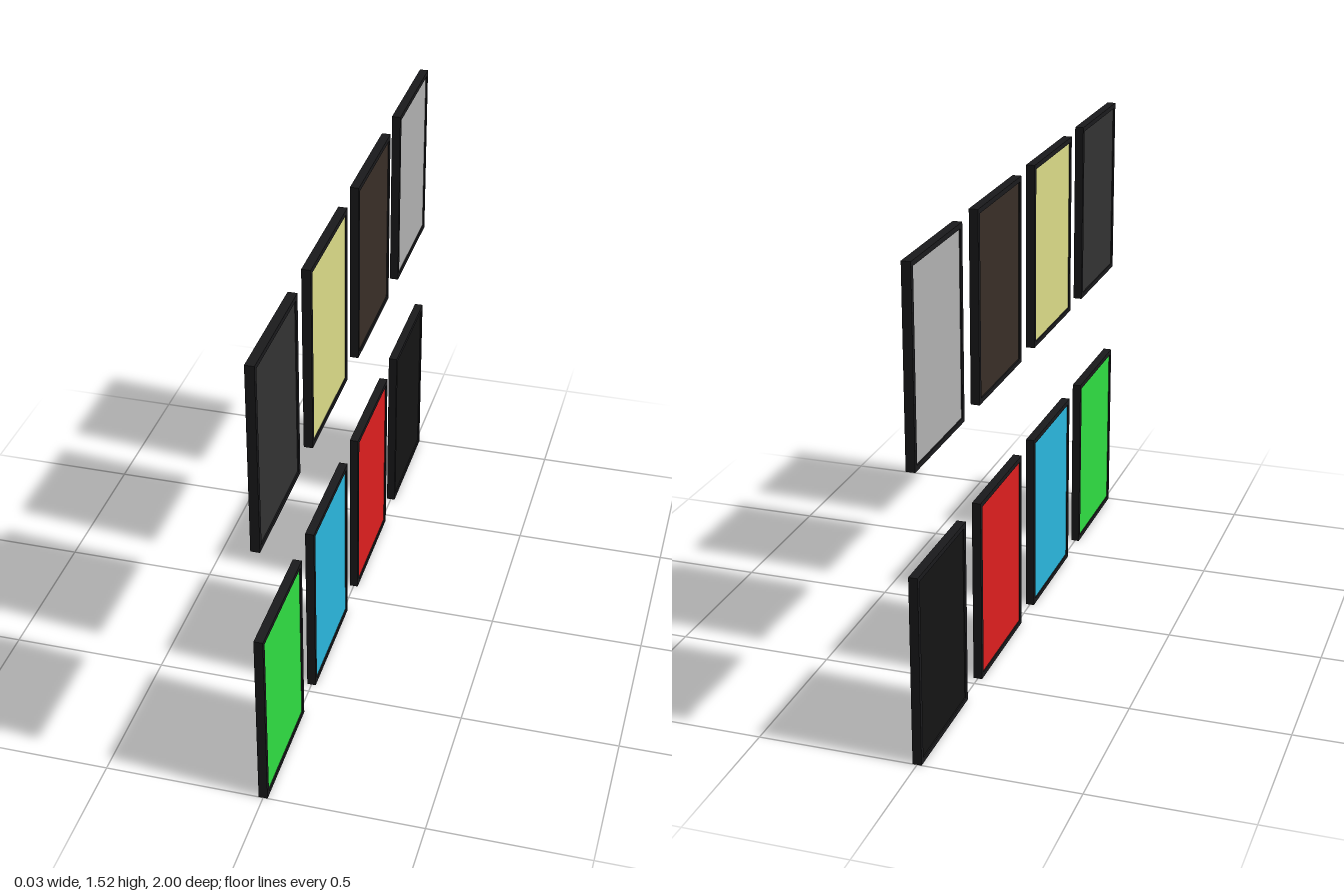
import * as THREE from 'three';

const W = 0.4, H = 0.6, T = 0.028, BORDER = 0.016;

// Rectangular frame with an open middle, centred on the origin, facing +x
function frameGeometry() {
  const rect = (target, w, h) => target
    .moveTo(-w / 2, -h / 2).lineTo(w / 2, -h / 2)
    .lineTo(w / 2, h / 2).lineTo(-w / 2, h / 2).closePath();
  const shape = rect(new THREE.Shape(), W, H);
  shape.holes.push(rect(new THREE.Path(), W - 2 * BORDER, H - 2 * BORDER));
  return new THREE.ExtrudeGeometry(shape, { depth: T, bevelEnabled: false })
    .translate(0, 0, -T / 2)
    .rotateY(Math.PI / 2);
}

export function createModel() {
  const model = new THREE.Group();
  model.name = 'colourPanels';

  const frameGeo = frameGeometry();
  const paneGeo = new THREE.BoxGeometry(T - 0.008, H - 2 * BORDER, W - 2 * BORDER);
  const frameMat = new THREE.MeshStandardMaterial({ color: 0x1a1a1c });

  // Rows from bottom to top, panes from front (+z) to back
  const rows = [
    { name: 'lower', y: H / 2, panes: [['Green', 0x2fdd42], ['Blue', 0x2ab7dd], ['Red', 0xdd1f1f], ['Black', 0x141414]] },
    { name: 'upper', y: 0.92 + H / 2, panes: [['Charcoal', 0x333333], ['Yellow', 0xdbdb87], ['Brown', 0x382e27], ['Grey', 0xb0b0b0]] },
  ];

  for (const row of rows) {
    row.panes.forEach(([label, color], i) => {
      const panel = new THREE.Group();
      panel.name = `${row.name}${label}Panel`;
      panel.position.set(0, row.y, 0.8 - i * 1.6 / 3);

      const frame = new THREE.Mesh(frameGeo, frameMat);
      frame.name = 'frame';
      // Coloured pane set slightly back on both sides
      const pane = new THREE.Mesh(paneGeo, new THREE.MeshStandardMaterial({ color }));
      pane.name = 'pane';

      panel.add(frame, pane);
      model.add(panel);
    });
  }
  return model;
}
